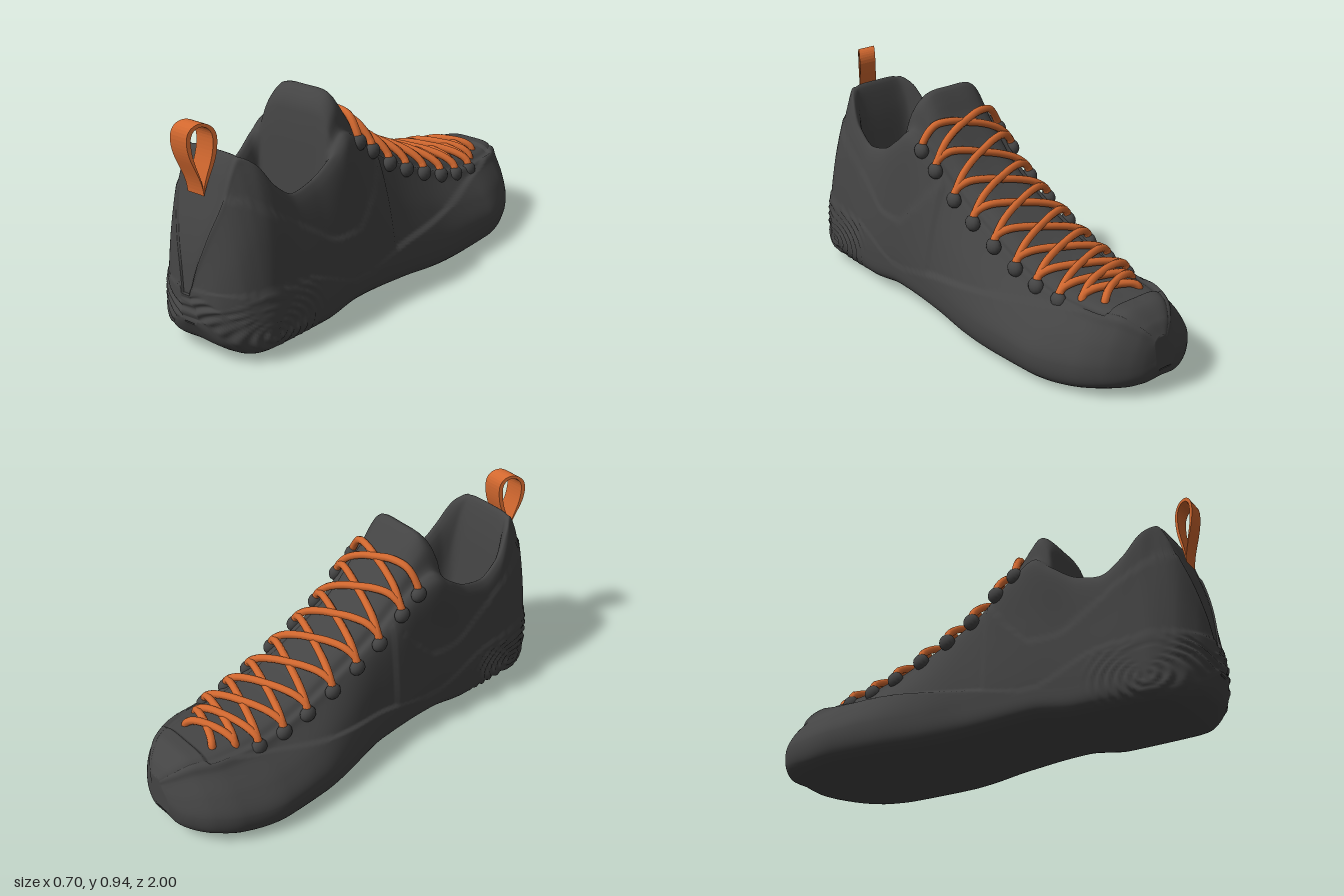
import * as THREE from 'three';

// Smooth monotone interpolation through [z, value] pairs, ordered by z
function track(...k) {
  const slope = i => (k[i + 1][1] - k[i][1]) / (k[i + 1][0] - k[i][0]);
  const tangent = i => {
    if (i === 0) return slope(0);
    if (i === k.length - 1) return slope(i - 1);
    const a = slope(i - 1), b = slope(i);
    return a * b <= 0 ? 0 : 2 * a * b / (a + b);
  };
  return z => {
    if (z <= k[0][0]) return k[0][1];
    if (z >= k[k.length - 1][0]) return k[k.length - 1][1];
    let i = 0;
    while (z > k[i + 1][0]) i++;
    const d = k[i + 1][0] - k[i][0], t = (z - k[i][0]) / d, u = 1 - t;
    return k[i][1] * (1 + 2 * t) * u * u + k[i + 1][1] * t * t * (3 - 2 * t)
      + d * t * u * (u * tangent(i) - t * tangent(i + 1));
  };
}

// Shape of the shoe from toe (z = -1) to heel (z = 1)
const width = track([-1, .05], [-.985, .105], [-.96, .155], [-.9, .225], [-.8, .285], [-.6, .335], [-.4, .33],
  [-.2, .305], [0, .275], [.2, .265], [.5, .262], [.8, .25], [.9, .21], [.96, .145], [.985, .095], [1, .04]);
const centre = track([-1, -.03], [-.8, -.02], [-.4, 0], [0, .03], [.5, .025], [1, .02]);
const bottom = track([-1, .11], [-.98, .07], [-.92, .045], [-.7, .014], [-.3, .016], [0, .04], [.3, .055],
  [.5, .03], [.85, .03], [.95, .08], [1, .16]);
const edgeWidth = track([-1, .03], [-.97, .08], [-.9, .14], [-.8, .185], [-.6, .21], [-.2, .2], [0, .2], [.2, .215],
  [.35, .235], [.5, .22], [.7, .21], [.78, .18], [.84, .14], [.9, .13], [.96, .08], [1, .02]);
const edge = track([-1, .24], [-.97, .28], [-.9, .32], [-.8, .325], [-.6, .335], [-.4, .38], [-.2, .46], [0, .56],
  [.2, .71], [.3, .755], [.38, .7], [.5, .625], [.6, .605], [.7, .665], [.78, .77], [.83, .8], [.87, .74],
  [.9, .66], [.95, .52], [.98, .4], [1, .27]);
const middle = track([-1, .25], [-.97, .295], [-.9, .34], [-.8, .347], [-.6, .37], [-.4, .42], [-.2, .51], [0, .62],
  [.2, .81], [.25, .88], [.29, .92], [.33, .89], [.36, .83], [.41, .22], [.55, .19], [.7, .2], [.74, .3],
  [.79, .68], [.83, .81], [.87, .75], [.9, .67], [.95, .53], [.98, .41], [1, .28]);
const randLine = track([-1, .42], [-.85, .35], [-.4, .27], [0, .22], [.3, .17], [.6, .27], [1, .3]);
const counterLine = track([.08, .6], [.2, .46], [.3, .37], [.4, .37], [.55, .45], [.7, .55], [.86, .65], [1, .67]);
const below = (y, line) => 1 - THREE.MathUtils.smoothstep(y, line - .006, line + .006);

// Closed cross-section: sole, side wall, collar edge, then lining or tongue
function section(z) {
  const w = width(z), e = edgeWidth(z), c = centre(z), b = bottom(z), y = edge(z), m = middle(z), h = y - b;
  const mix = THREE.MathUtils.lerp;
  const half = [
    [0, b, 1], [.72 * w, b, 1], [.95 * w, b + Math.min(.03, .15 * h), 1], [w, b + Math.min(.12, .35 * h), 1],
    [mix(w, e, .36), b + .62 * h, .6], [e, y - Math.min(.03, .1 * h), 0], [.91 * e, y, 0],
    [.8 * e, mix(y, m, .1), 0], [.68 * e, mix(y, m, .65), 0], [.48 * e, mix(y, m, .95), 0], [0, m, 0]];
  const right = half.map(([x, py, k]) => new THREE.Vector3(c * k + x, py, z));
  const left = half.slice(1, -1).reverse().map(([x, py, k]) => new THREE.Vector3(c * k - x, py, z));
  return new THREE.CatmullRomCurve3([...right, ...left], true);
}

// Whole shoe shell as one smooth surface, divided into named parts
function shell(material) {
  const counts = [4, 5, 8, 22, 12, 4, 4, 5, 5, 4], steps = [];
  [...counts, ...counts.slice().reverse()].forEach((n, s) => {
    for (let i = 0; i < n; i++) steps.push(s + i / n);
  });
  const rings = 230, M = steps.length, pos = [];
  const parts = { sole: [], upper: [], lining: [], tongue: [] };
  const all = [];
  for (let i = 0; i <= rings; i++) {
    const z = Math.cos(Math.PI * i / rings), curve = section(z);
    for (const s of steps) {
      const p = curve.getPoint(s / 20);
      pos.push(p.x, p.y, z * .988);
    }
    if (i === rings) break;
    for (let j = 0; j < M; j++) {
      const s = Math.min(steps[j], 19.999 - steps[j]);
      const name = s < 2 ? 'sole' : s < 6 ? 'upper' : z > .34 && z < .84 ? 'lining' : z < .34 && z > -.82 ? 'tongue' : 'upper';
      const a = i * M + j, b = i * M + (j + 1) % M;
      const quad = [a, a + M, b, b, a + M, b + M];
      parts[name].push(...quad);
      all.push(...quad);
    }
  }
  // close the narrow strips at heel and toe
  for (let j = 0; j < M / 2; j++) {
    const a = j, b = j + 1, c = M - j - 1, d = (M - j) % M, o = rings * M;
    const caps = [a, b, c, a, c, d, o + a, o + c, o + b, o + a, o + d, o + c];
    parts.upper.push(...caps);
    all.push(...caps);
  }
  const geo = new THREE.BufferGeometry();
  geo.setAttribute('position', new THREE.Float32BufferAttribute(pos, 3));
  geo.setIndex(all);
  geo.computeVertexNormals();

  // raised rubber rand, heel counter and wavy heel tread
  const P = geo.attributes.position, N = geo.attributes.normal;
  for (let i = 0; i < P.count; i++) {
    const s = Math.min(steps[i % M], 20 - steps[i % M]);
    const x = P.getX(i), y = P.getY(i), z = P.getZ(i);
    if (s > 6 && z > -.84) continue;
    let d = .012 * below(y, randLine(z));
    if (z > .08) d = Math.max(d, .007 * below(y, counterLine(z)));
    if (z > .5 && s > 1.8) {
      const r = Math.hypot((z - .79) * .85, (y - .11) * 1.3);
      const fade = below(y, .25 + .02 * Math.sin(x * 30)) * THREE.MathUtils.smoothstep(z, .5, .62);
      d += .005 * fade * Math.sin(r * 190 + 1.6 * Math.sin(x * 24 + y * 9));
    }
    P.setXYZ(i, x + N.getX(i) * d, y + N.getY(i) * d, z + N.getZ(i) * d);
  }
  geo.computeVertexNormals();

  const group = new THREE.Group();
  group.name = 'shoeBody';
  for (const [name, index] of Object.entries(parts)) {
    const g = new THREE.BufferGeometry();
    g.setAttribute('position', geo.attributes.position);
    g.setAttribute('normal', geo.attributes.normal);
    g.setIndex(index);
    const mesh = new THREE.Mesh(g, material);
    mesh.name = name;
    group.add(mesh);
  }
  return group;
}

export function createModel() {
  const rubber = new THREE.MeshStandardMaterial({ color: 0x444444 });
  rubber.name = 'charcoal';
  const orange = new THREE.MeshStandardMaterial({ color: 0xd2682f });
  orange.name = 'orange';
  const model = new THREE.Group();
  model.name = 'climbingShoe';
  model.add(shell(rubber));
  const add = (geo, mat, name) => {
    const mesh = new THREE.Mesh(geo, mat);
    mesh.name = name;
    model.add(mesh);
    return mesh;
  };

  // criss-cross laces with an eyelet bump at each end
  const rows = [.21, .12, 0, -.12, -.25, -.38, -.5, -.62, -.7, -.78];
  const reach = track([-.78, .09], [-.7, .13], [-.62, .175], [-.4, .19], [.2, .2]);
  for (let i = 0; i < rows.length - 1; i++) {
    for (const side of [-1, 1]) {
      const path = [-1.1, -1, -.75, -.35, 0, .35, .75, 1, 1.1].map(f => {
        const t = THREE.MathUtils.clamp((f + 1) / 2, 0, 1);
        const z = THREE.MathUtils.lerp(rows[i], rows[i + 1], t);
        const lift = Math.abs(f) > 1 ? -.025 : .026 + .006 * side * (1 - f * f);
        const y = THREE.MathUtils.lerp(middle(z), edge(z), Math.min(1, f ** 4)) + lift;
        return new THREE.Vector3(side * f * reach(z), y, z);
      });
      add(new THREE.TubeGeometry(new THREE.CatmullRomCurve3(path), 32, .0165, 8), orange, 'lace');
    }
  }
  for (const z of rows.slice(0, 8)) {
    for (const side of [-1, 1]) {
      const eyelet = add(new THREE.SphereGeometry(1, 14, 10), rubber, 'eyelet');
      eyelet.scale.set(.028, .035, .036);
      eyelet.position.set(side * (reach(z) + .012), edge(z) - .015, z);
    }
  }

  // teardrop pull loop on the heel, slightly skewed
  const drop = (Path, inset) => {
    const s = new Path(), w = .05 - inset;
    s.moveTo(0, .65 + inset);
    s.bezierCurveTo(.005, .74, w, .78, w, .87);
    s.bezierCurveTo(w, .96 - inset * 1.3, -w, .96 - inset * 1.3, -w, .87);
    s.bezierCurveTo(-w, .78, -.02 + inset, .74, 0, .65 + inset);
    return s;
  };
  const loopShape = drop(THREE.Shape, 0);
  loopShape.holes.push(drop(THREE.Path, .014));
  const loop = new THREE.ExtrudeGeometry(loopShape, { depth: .085, bevelEnabled: false, curveSegments: 16 });
  loop.translate(0, 0, -.0425).rotateY(-Math.PI / 2);
  const L = loop.attributes.position;
  for (let i = 0; i < L.count; i++) L.setX(i, L.getX(i) - .012 - L.getZ(i) * .6);
  loop.translate(0, 0, .908);
  loop.computeVertexNormals();
  add(loop, orange, 'pullLoop');

  return model;
}
